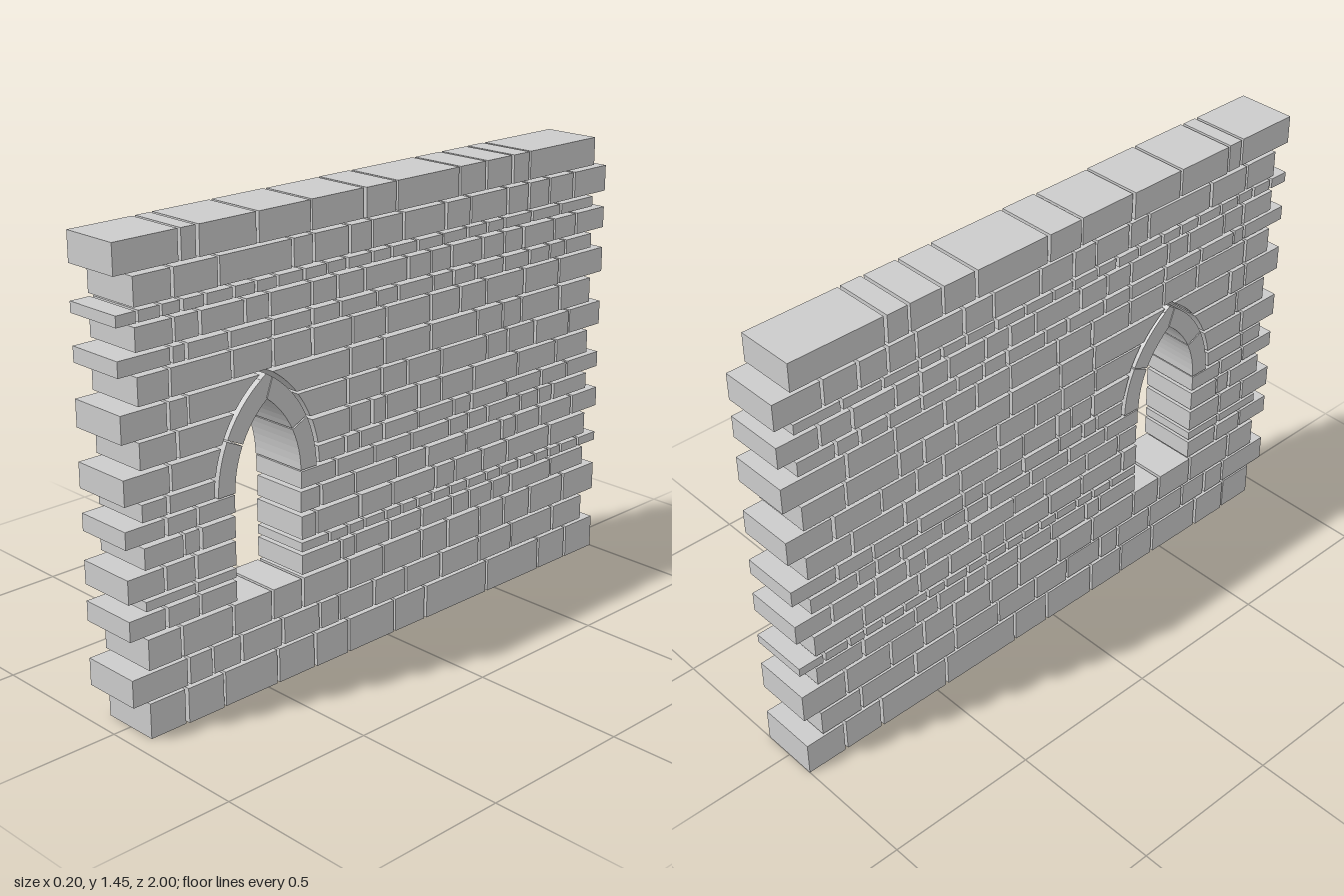
import * as THREE from 'three';

const CENTRE = -0.488;          // arch centre along the wall (s = -z)
const SPRING = 0.655;           // height where the arch begins to curve
const OFFSET = 0.19;            // each arc is struck from beyond the centre line
const R_IN = 0.315, R_OUT = 0.377, R_CUT = 0.39;
const GAP = 0.005;              // half of a joint
const C = 51.2;                 // marks the opening in a course

const material = new THREE.MeshStandardMaterial({ color: 0xcccccc, flatShading: true });

// small seeded generator for uneven stone faces
let seed = 7;
const rand = () => (seed = (seed * 16807) % 2147483647) / 2147483647;

// extrude an outline (s along the wall, y up) through the wall thickness
function stone(name, points, half) {
  const shape = new THREE.Shape(points.map(([s, y]) => new THREE.Vector2(s, y)));
  const geo = new THREE.ExtrudeGeometry(shape, { depth: half * 2, bevelEnabled: false });
  geo.translate(0, 0, -half).rotateY(Math.PI / 2);
  const mesh = new THREE.Mesh(geo, material);
  mesh.name = name;
  return mesh;
}

// half width of the hole left in the wall at height y
function holeHalf(y) {
  if (y < SPRING) return 0.127;
  const d = R_CUT ** 2 - (y - SPRING) ** 2;
  return Math.max(0.004, Math.sqrt(d) - OFFSET);
}

// one row of blocks; joints are hundredths from the +z end
function course(y0, y1, joints) {
  const group = new THREE.Group();
  group.name = 'stoneCourse';
  for (let i = 0; i < joints.length - 1; i++) {
    const [t0, t1] = [joints[i], joints[i + 1]];
    const a = -1 + t0 / 100 + (i ? GAP : 0);
    const b = -1 + t1 / 100 - (i < joints.length - 2 ? GAP : 0);
    const steps = (t0 === C || t1 === C) && y1 > SPRING ? 5 : 1;
    const near = [], far = [];
    for (let k = 0; k <= steps; k++) {
      const y = y0 + (y1 - y0) * k / steps;
      near.push([t0 === C ? CENTRE + holeHalf(y) : a, y]);
      far.push([t1 === C ? CENTRE - holeHalf(y) : b, y]);
    }
    // straight sides need only their end points
    const ends = (p) => [p[0], p[p.length - 1]];
    const left = t0 === C ? near : ends(near);
    const right = t1 === C ? far : ends(far);
    group.add(stone('block', [...right, ...left.reverse()], 0.096 + 0.004 * rand()));
  }
  return group;
}

// curved arch stone between two angles on one side of the opening
function archStone(side, in0, out0, in1, out1) {
  const pts = [];
  const n = 6;
  const at = (r, ang) => [CENTRE + side * (r * Math.cos(ang) - OFFSET), SPRING + r * Math.sin(ang)];
  for (let k = 0; k <= n; k++) pts.push(at(R_OUT, out0 + (out1 - out0) * k / n));
  for (let k = n; k >= 0; k--) pts.push(at(R_IN, in0 + (in1 - in0) * k / n));
  return stone('archStone', pts, 0.1);
}

export function createModel() {
  const wall = new THREE.Group();
  wall.name = 'stoneWall';

  // courses from the ground to the top
  wall.add(
    course(0, 0.11, [6, 19, 33, 54, 69, 83, 103, 117, 146, 172, 186, 200]),
    course(0.12, 0.205, [0, 20, 29, 40, 56, 71, 79, 94, 108, 124, 142, 158, 179, 194]),
    course(0.215, 0.31, [6, 18, 37, 52, 64, 83, 98, 115, 127, 142, 154, 167, 184, 200]),
    course(0.322, 0.384, [0, 13, 25, C, 80, 86, 101, 115, 129, 137, 148, 157, 177, 194]),
    course(0.395, 0.424, [6, 24, C, 75, 83, 90, 99, 106, 113, 120, 128, 136, 145, 152, 161, 169, 176, 182, 191, 200]),
    course(0.435, 0.508, [0, 13, 24, C, 70, 88, 102, 121, 130, 143, 155, 176, 194]),
    course(0.52, 0.585, [6, 20, 26, C, 72, 86, 104, 117, 135, 152, 159, 171, 187, 200]),
    course(0.597, 0.65, [0, 14, 25, C, 78, 94, 110, 127, 136, 145, 161, 170, 177, 194]),
    course(0.66, 0.712, [6, 15, C, 82, 88, 98, 113, 129, 137, 154, 171, 184, 200]),
    course(0.723, 0.8, [0, 16, C, 84, 93, 99, 113, 123, 138, 159, 178, 194]),
    course(0.811, 0.89, [6, 19, C, 83, 97, 108, 123, 144, 154, 167, 184, 200]),
    course(0.9, 0.982, [0, 16, 23, C, 84, 98, 118, 139, 151, 160, 179, 194]),
    course(0.993, 1.075, [6, 17, 39, 54, 69, 85, 99, 118, 131, 143, 161, 178, 200]),
    course(1.085, 1.132, [0, 18, 23, 38, 54, 69, 80, 95, 104, 119, 128, 138, 151, 163, 173, 181, 194]),
    course(1.143, 1.212, [6, 19, 28, 44, 53, 69, 79, 90, 108, 118, 127, 141, 151, 160, 175, 186, 200]),
    course(1.223, 1.256, [0, 7, 15, 22, 30, 40, 48, 56, 66, 75, 83, 93, 101, 112, 123, 134, 143, 151, 164, 178, 194]),
    course(1.266, 1.35, [6, 19, 35, 62, 70, 84, 93, 106, 124, 135, 152, 162, 172, 184, 200]),
    course(1.36, 1.45, [0, 22, 28, 49, 69, 90, 103, 130, 142, 154, 162, 194])
  );

  // pointed arch: two stones on each side
  const arch = new THREE.Group();
  arch.name = 'pointedArch';
  const topIn = Math.acos(OFFSET / R_IN);
  const topOut = Math.acos((OFFSET + 0.022) / R_OUT);
  for (const side of [-1, 1]) {
    arch.add(archStone(side, 0, 0, 0.44, 0.44));
    arch.add(archStone(side, 0.455, 0.452, topIn, topOut));
  }

  // wedge at the peak of the arch
  const yIn = SPRING + R_IN * Math.sin(topIn);
  const yShoulder = SPRING + R_OUT * Math.sin(topOut);
  const yPeak = SPRING + Math.sqrt(R_OUT ** 2 - OFFSET ** 2);
  arch.add(stone('keystone', [
    [CENTRE, yIn + 0.004], [CENTRE + 0.021, yShoulder], [CENTRE, yPeak], [CENTRE - 0.021, yShoulder]
  ], 0.098));
  wall.add(arch);

  return wall;
}
